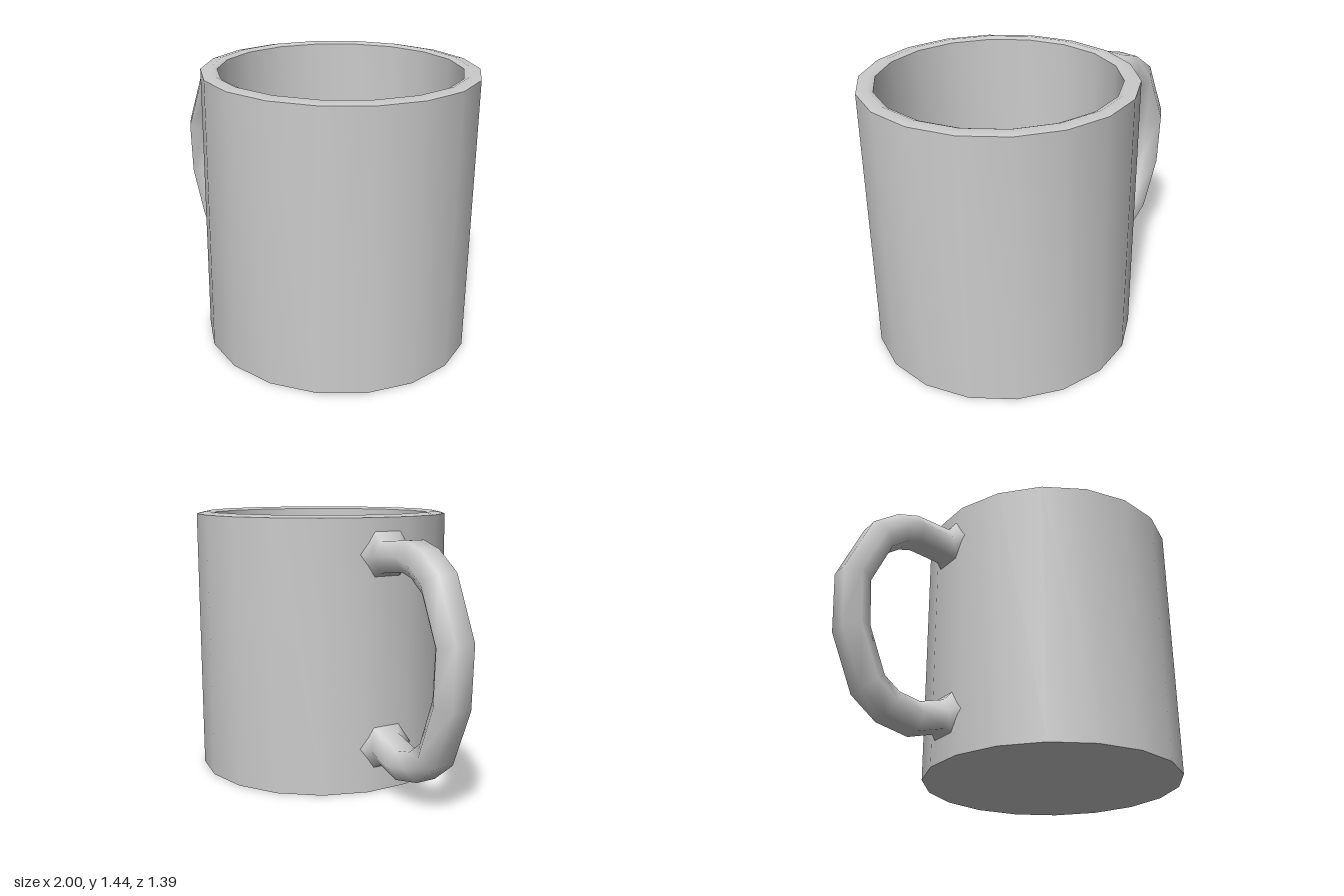
import * as THREE from 'three';
import { toCreasedNormals } from 'three/addons/utils/BufferGeometryUtils.js';

const SIDES = 18;
const CUP_X = 0.315;

// Handle stations from top to bottom: outer x, y, inner x, y, half width in z
const STATIONS = [
  [-0.33, 1.355, -0.33, 1.13, 0.152],
  [-0.37, 1.355, -0.37, 1.13, 0.152],
  [-0.40, 1.31, -0.40, 1.15, 0.11],
  [-0.60, 1.325, -0.58, 1.17, 0.11],
  [-0.72, 1.29, -0.65, 1.15, 0.11],
  [-0.86, 1.19, -0.74, 1.085, 0.11],
  [-1.00, 0.88, -0.85, 0.845, 0.11],
  [-0.985, 0.56, -0.835, 0.595, 0.11],
  [-0.86, 0.26, -0.74, 0.355, 0.11],
  [-0.72, 0.15, -0.655, 0.29, 0.11],
  [-0.54, 0.11, -0.54, 0.265, 0.11],
  [-0.40, 0.15, -0.40, 0.305, 0.11],
  [-0.37, 0.13, -0.37, 0.345, 0.152],
  [-0.33, 0.13, -0.33, 0.345, 0.152],
];

// Hexagonal tube: each ring spans the outer and inner point of its station
function handleGeometry() {
  const ring = 6, positions = [], index = [];
  STATIONS.forEach(([ox, oy, ix, iy, half], i) => {
    for (let j = 0; j < ring; j++) {
      const a = ((j + 0.5) / ring) * Math.PI * 2;
      const t = 0.5 + 0.5 * Math.cos(a) / Math.cos(Math.PI / 6);
      positions.push(
        ix + (ox - ix) * t,
        iy + (oy - iy) * t,
        half * Math.sin(a) - 0.01,
      );
      if (i === STATIONS.length - 1) continue;
      const p = i * ring + j, q = i * ring + (j + 1) % ring;
      index.push(p, p + ring, q, q, p + ring, q + ring);
    }
  });
  const geometry = new THREE.BufferGeometry();
  geometry.setAttribute('position', new THREE.Float32BufferAttribute(positions, 3));
  geometry.setIndex(index);
  geometry.computeVertexNormals();
  return geometry;
}

export function createModel() {
  const model = new THREE.Group();
  model.name = 'mug';
  const material = new THREE.MeshStandardMaterial({ color: 0xcccccc });

  // Cup: base, outer wall, bevelled rim, inner wall and floor in one profile
  const profile = [
    [0, 0], [0.695, 0], [0.695, 1.425], [0.64, 1.437],
    [0.612, 1.425], [0.605, 0.08], [0, 0.08],
  ].map(([r, y]) => new THREE.Vector2(r, y));
  const cup = new THREE.Mesh(
    toCreasedNormals(new THREE.LatheGeometry(profile, SIDES), 0.7),
    material,
  );
  cup.name = 'cup';
  cup.position.x = CUP_X;
  model.add(cup);

  // Handle with flared ends set into the wall
  const handle = new THREE.Mesh(handleGeometry(), material);
  handle.name = 'handle';
  model.add(handle);

  return model;
}
